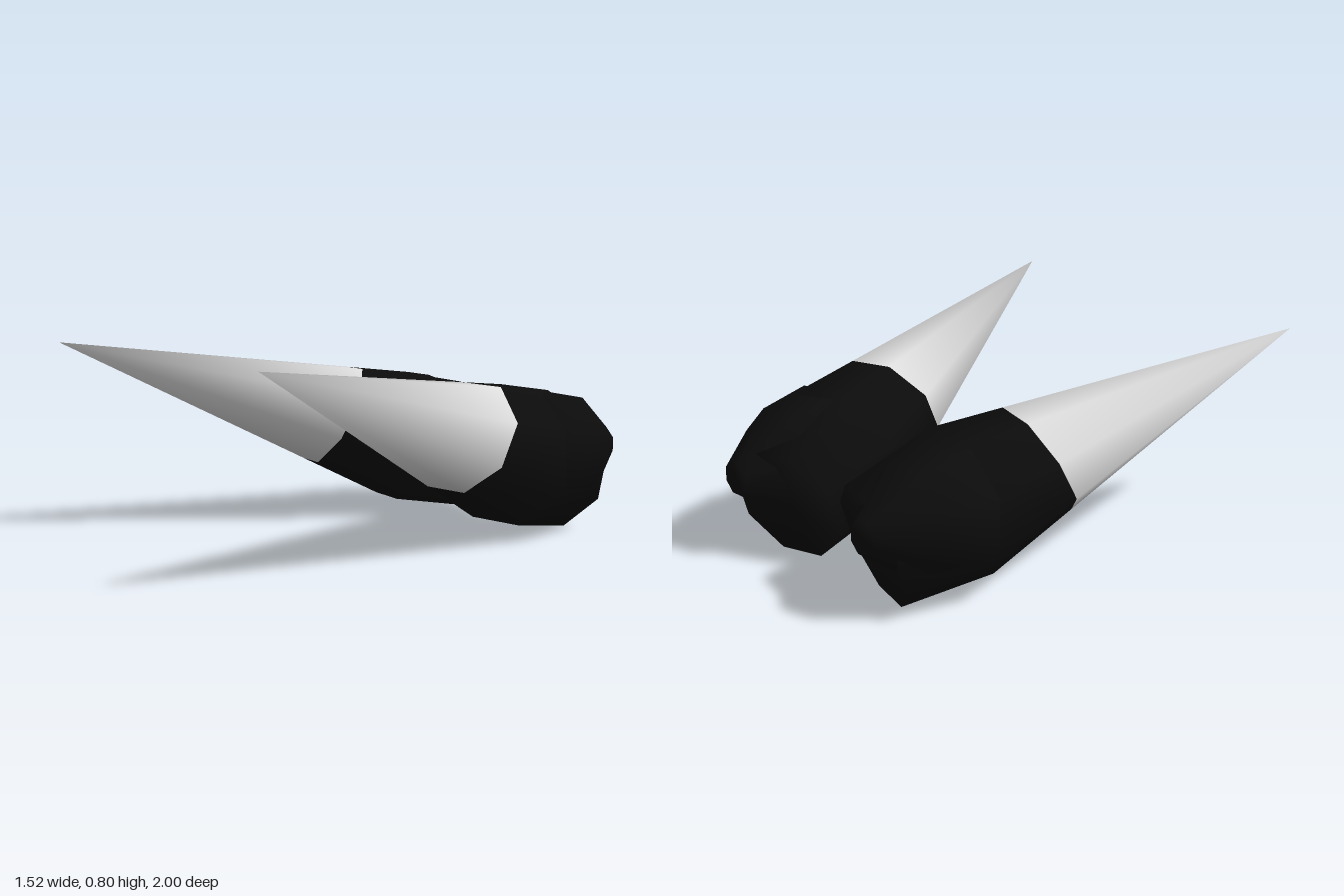
import * as THREE from 'three';

const SIDES = 8;
const pale = new THREE.MeshStandardMaterial({ color: 0xdedede });
pale.name = 'pale horn';
const black = new THREE.MeshStandardMaterial({ color: 0x0c0c0c });
black.name = 'black base';

const V = (x, y, z) => new THREE.Vector3(x, y, z);
const angleOf = (j) => ((j + 0.5) / SIDES) * Math.PI * 2;

// Octagonal ring facing along dir
function ring(center, radius, dir) {
  const q = new THREE.Quaternion().setFromUnitVectors(V(0, 0, 1), dir);
  return Array.from({ length: SIDES }, (_, j) =>
    V(radius * Math.cos(angleOf(j)), radius * Math.sin(angleOf(j)), 0)
      .applyQuaternion(q).add(center));
}

// Skin from a front point through rings to a back point; the first
// paleBands bands use material 0, the rest material 1
function loft(front, rings, back, side, paleBands) {
  const points = [front, ...rings.flat(), back];
  const index = [];
  const tri = (a, b, c) => (side > 0 ? index.push(a, b, c) : index.push(a, c, b));
  const id = (r, j) => 1 + r * SIDES + (j % SIDES);
  let split = 0;
  for (let r = 0; r <= rings.length; r++) {
    if (r === paleBands) split = index.length;
    for (let j = 0; j < SIDES; j++) {
      if (r === 0) tri(0, id(0, j), id(0, j + 1));
      else if (r === rings.length) tri(id(r - 1, j), points.length - 1, id(r - 1, j + 1));
      else {
        tri(id(r - 1, j), id(r, j), id(r, j + 1));
        tri(id(r - 1, j), id(r, j + 1), id(r - 1, j + 1));
      }
    }
  }
  const geo = new THREE.BufferGeometry().setFromPoints(
    points.map((p) => V(p.x * side, p.y, p.z)));
  geo.setIndex(index);
  geo.computeVertexNormals();
  if (split > 0) geo.addGroup(0, split, 0);
  geo.addGroup(split, index.length - split, 1);
  return geo;
}

function horn(side) {
  const group = new THREE.Group();
  group.name = side > 0 ? 'leftHorn' : 'rightHorn';

  // Long cone: pale to the colour line, black behind it
  const tip = V(0.76, 0.8, 1);
  const waist = V(0.365, 0.335, -0.495);
  const end = V(0.268, 0.225, -0.85);
  const axis = tip.clone().sub(waist).normalize();
  const wide = ring(waist, 0.31, axis);
  const line = wide.map((p, j) =>
    tip.clone().lerp(p, 0.78 + 0.03 * Math.sin(angleOf(j))));
  const cone = new THREE.Mesh(
    loft(tip, [line, wide, ring(end, 0.255, axis)], end, side, 1), [pale, black]);
  cone.name = 'hornCone';
  group.add(cone);

  // Rounded rear knob, sunk into the cone's base
  const forward = V(0, 0, 1);
  const profile = [[-0.42, 0.18], [-0.57, 0.28], [-0.79, 0.235], [-1, 0.073]];
  const at = (z) => V(0.395, 0.345, z);
  const knob = new THREE.Mesh(
    loft(at(-0.42), profile.map(([z, r]) => ring(at(z), r, forward)), at(-1), side, 0),
    [pale, black]);
  knob.name = 'rearKnob';
  group.add(knob);
  return group;
}

export function createModel() {
  const model = new THREE.Group();
  model.name = 'hornPair';
  for (const side of [1, -1]) model.add(horn(side));
  return model;
}
